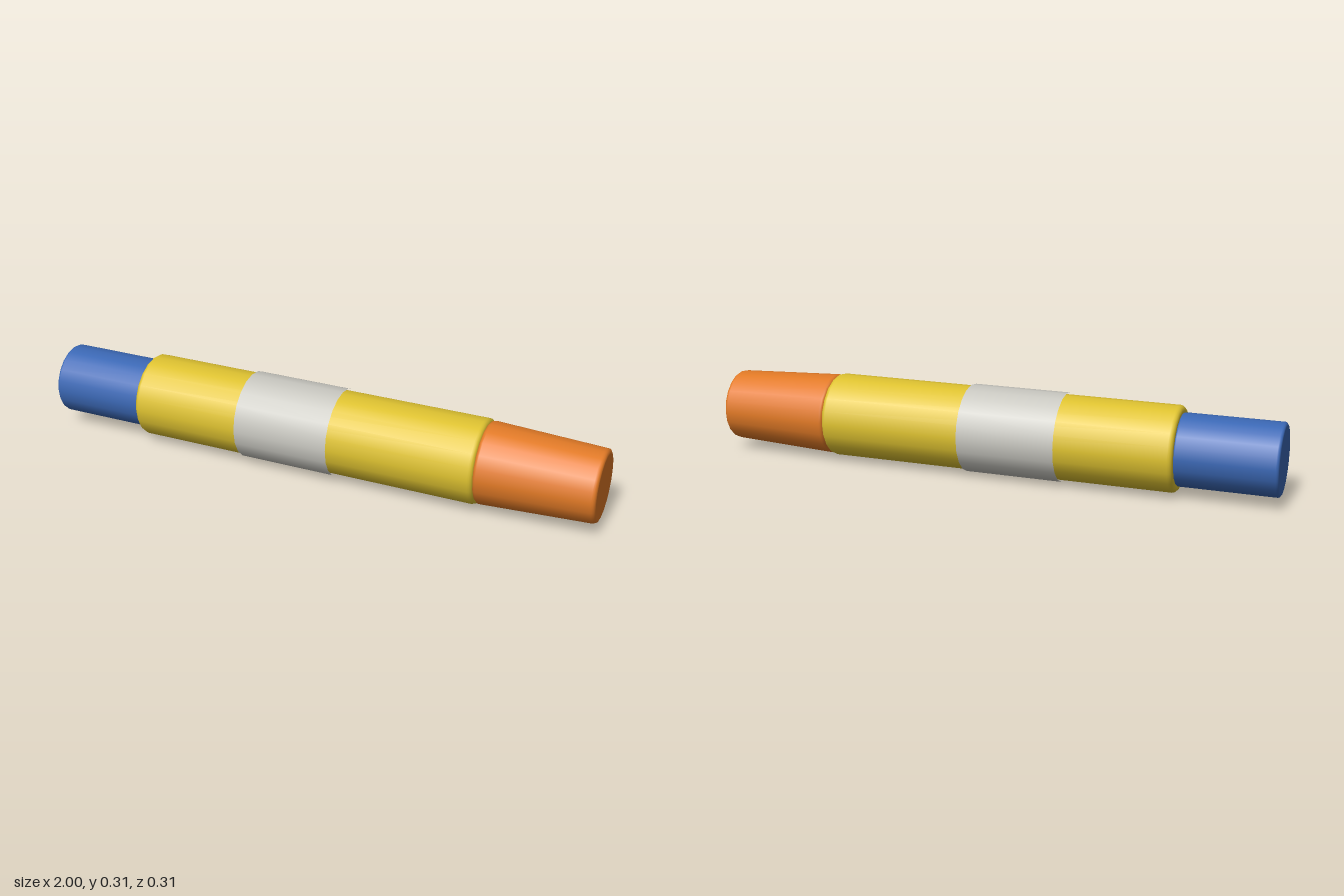
import * as THREE from 'three';

const SIDES = 20;
const AXIS_Y = 0.1535;

const mat = (name, color, side = THREE.FrontSide) => {
  const m = new THREE.MeshStandardMaterial({ color, side });
  m.name = name;
  return m;
};

// Solid of revolution along x with rounded rims; r0 at x0, r1 at x1
function roundedRod(name, x0, x1, r0, r1, bevel, material) {
  const pts = [new THREE.Vector2(0, x0), new THREE.Vector2(r0 - bevel - 0.002, x0)];
  const steps = 4;
  for (let i = 0; i <= steps; i++) {
    const a = (i / steps) * Math.PI / 2;
    pts.push(new THREE.Vector2(r0 - bevel + bevel * Math.sin(a), x0 + bevel - bevel * Math.cos(a)));
  }
  for (let i = 0; i <= steps; i++) {
    const a = (i / steps) * Math.PI / 2;
    pts.push(new THREE.Vector2(r1 - bevel + bevel * Math.cos(a), x1 - bevel + bevel * Math.sin(a)));
  }
  pts.push(new THREE.Vector2(r1 - bevel - 0.002, x1), new THREE.Vector2(0, x1));
  const mesh = new THREE.Mesh(new THREE.LatheGeometry(pts, SIDES), material);
  mesh.name = name;
  mesh.rotation.z = -Math.PI / 2;
  mesh.position.y = AXIS_Y;
  return mesh;
}

export function createModel() {
  const group = new THREE.Group();
  group.name = 'marker';

  const yellow = mat('yellow', 0xdec230);
  const blue = mat('blue', 0x3b68b5);
  const orange = mat('orange', 0xe27a26);
  const grey = mat('lightGrey', 0xc8c7c0);

  // Barrel, rear plug and tapered cap
  group.add(roundedRod('barrel', -0.66, 0.6, 0.147, 0.147, 0.016, yellow));
  group.add(roundedRod('rearPlug', -1, -0.655, 0.124, 0.124, 0.01, blue));
  group.add(roundedRod('cap', 0.597, 1, 0.142, 0.125, 0.014, orange));

  // Open sleeve wrapped around the barrel
  const label = new THREE.Mesh(
    new THREE.CylinderGeometry(AXIS_Y, AXIS_Y, 0.345, SIDES, 1, true), grey);
  label.name = 'labelBand';
  label.rotation.z = -Math.PI / 2;
  label.position.set(-0.0875, AXIS_Y, 0);
  group.add(label);

  return group;
}
